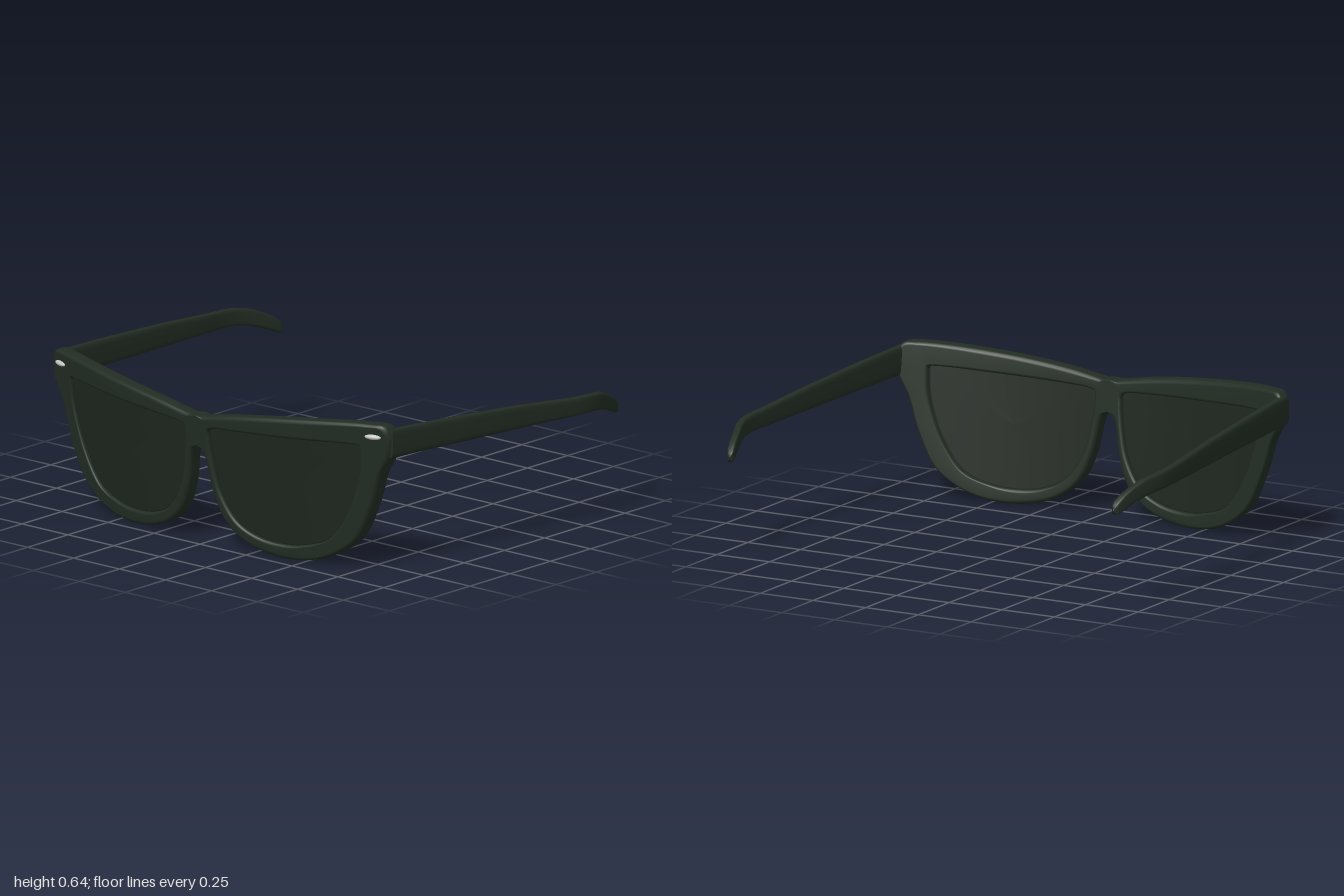
import * as THREE from 'three';

const material = (name, color) => {
  const m = new THREE.MeshStandardMaterial({ color });
  m.name = name;
  return m;
};

// Paired outlines of one half of the front: [outer x, outer y, lens opening x, y]
const OUTLINE = [
  [0, .555, .065, .5], [.03, .558, .085, .512], [.2, .587, .22, .522], [.5, .622, .5, .535],
  [.83, .645, .75, .548], [.895, .638, .782, .545], [.918, .59, .784, .52], [.905, .51, .78, .45],
  [.865, .43, .765, .38], [.82, .29, .71, .24], [.74, .13, .62, .12], [.6, .035, .5, .075],
  [.42, .003, .4, .065], [.23, .04, .28, .08], [.12, .12, .18, .13], [.064, .24, .107, .24],
  [.037, .37, .075, .37], [.02, .415, .068, .42], [0, .43, .064, .46],
];

// Temple stations: [z, centre x, bottom y, top y, half width]
const TEMPLE = [
  [.606, .903, .56, .57, .002], [.606, .903, .507, .625, .017], [.6, .903, .505, .627, .018],
  [.3, .925, .498, .612, .018], [-.1, .952, .487, .585, .018], [-.45, .979, .477, .553, .018],
  [-.52, .982, .475, .55, .018], [-.58, .976, .472, .545, .018], [-.64, .96, .462, .535, .018],
  [-.7, .94, .443, .512, .018], [-.75, .926, .423, .487, .018], [-.78, .917, .41, .465, .017],
  [-.793, .913, .41, .45, .012], [-.798, .912, .425, .435, .002],
];

const THICKNESS = .075;
const STEPS = 152;

// Wrapped and tilted front surface of the frame
const frontZ = (x, y) => .79 - .2 * x * x + .1 * (y - .6);
const onFront = (x, y, depth) => [x, y, frontZ(x, y) - depth];

// Skin over rows of points; either direction may close on itself
function loft(rows, closeRows, closeCols) {
  const n = rows.length, m = rows[0].length, index = [];
  const onMidline = (...ids) => ids.every(k => rows[Math.floor(k / m)][k % m][0] < 1e-4);
  for (let i = 0; i < (closeRows ? n : n - 1); i++) {
    for (let j = 0; j < (closeCols ? m : m - 1); j++) {
      const i2 = (i + 1) % n, j2 = (j + 1) % m;
      const a = i * m + j, b = i2 * m + j, c = i2 * m + j2, d = i * m + j2;
      if (!onMidline(a, b, c, d)) index.push(a, b, d, b, c, d);
    }
  }
  const geo = new THREE.BufferGeometry();
  geo.setAttribute('position', new THREE.Float32BufferAttribute(rows.flat(2), 3));
  geo.setIndex(index);
  geo.computeVertexNormals();
  return geo;
}

// Mirror across x = 0, keeping faces outward
function mirrored(geo) {
  const copy = geo.clone().scale(-1, 1, 1);
  const id = copy.index.array;
  for (let k = 0; k < id.length; k += 3) [id[k], id[k + 1]] = [id[k + 1], id[k]];
  copy.computeVertexNormals();
  return copy;
}

function sampleLoop(k) {
  const curve = new THREE.CatmullRomCurve3(
    OUTLINE.map(p => new THREE.Vector3(p[k], p[k + 1], 0)), true, 'centripetal');
  return Array.from({ length: STEPS }, (_, i) => curve.getPoint(i / STEPS));
}

// Half of the rim: a rounded section swept between the two outlines
function rimGeometry(outer, inner) {
  const rows = outer.map((o, i) => {
    const ox = Math.max(0, o.x), p = inner[i];
    const width = Math.hypot(ox - p.x, o.y - p.y);
    const rOut = .02 * Math.min(1, ox / .03), rIn = .014;
    const section = [];
    // Corners in order: front inner, front outer, back outer, back inner
    const corner = (start, r, cs, cd) => {
      for (let q = 0; q <= 4; q++) {
        const a = start + q * Math.PI / 8;
        section.push([cs + r * Math.cos(a), cd - r * Math.sin(a)]);
      }
    };
    const add = (isOuter, isFront, r) => {
      const cs = isOuter ? width - r : r;
      const cd = isFront ? r : THICKNESS - r;
      const quarter = isOuter ? (isFront ? 1 : 0) : (isFront ? 2 : 3);
      const first = section.length;
      const start = [-Math.PI / 2, 0, Math.PI / 2, Math.PI][quarter];
      corner(start, r, cs, cd);
      section.push(...section.splice(first).reverse());
    };
    add(false, true, rIn);
    add(true, true, rOut);
    add(true, false, rOut);
    add(false, false, rIn);
    return section.map(([s, d]) => {
      const t = s / width;
      return onFront(p.x + (ox - p.x) * t, p.y + (o.y - p.y) * t, d);
    });
  });
  return loft(rows, true, true);
}

// Lens: curved front and back, edge tucked into the rim
function lensGeometry(inner) {
  const scales = [.001, .25, .5, .75, .98, 1.02];
  const section = [...scales.map(s => [s, .018]), ...scales.slice().reverse().map(s => [s, .057])];
  const rows = inner.map(p => section.map(([s, d]) =>
    onFront(.42 + (p.x - .42) * s, .33 + (p.y - .33) * s, d)));
  return loft(rows, true, false);
}

// Temple arm: rounded rectangular section through the stations
function templeGeometry() {
  const soft = v => Math.sign(v) * Math.pow(Math.abs(v), .45);
  const rows = TEMPLE.map(([z, x, low, high, w]) => Array.from({ length: 24 }, (_, j) => {
    const a = j / 24 * Math.PI * 2;
    return [x + w * soft(Math.cos(a)), (low + high) / 2 + (high - low) / 2 * soft(Math.sin(a)), z];
  }));
  return loft(rows, false, true);
}

// Small metal oval on the front corner
function rivetGeometry() {
  const x = .85, y = .593;
  return new THREE.SphereGeometry(1, 20, 12).scale(.036, .011, .012)
    .rotateY(Math.atan(.4 * x)).translate(x, y, frontZ(x, y) + .002);
}

export function createModel() {
  const frame = material('dark green frame', 0x222d23);
  const glass = material('dark lens', 0x1e261e);
  const metal = material('silver metal', 0xc4c4c4);

  const model = new THREE.Group();
  model.name = 'sunglasses';
  const outer = sampleLoop(0), inner = sampleLoop(2);

  const addPair = (name, geo, mat) => {
    for (const [side, g] of [['left', geo], ['right', mirrored(geo)]]) {
      const mesh = new THREE.Mesh(g, mat);
      mesh.name = side + name;
      model.add(mesh);
    }
  };
  addPair('Rim', rimGeometry(outer, inner), frame);
  addPair('Lens', lensGeometry(inner), glass);
  addPair('Temple', templeGeometry(), frame);
  addPair('Rivet', rivetGeometry(), metal);
  return model;
}
